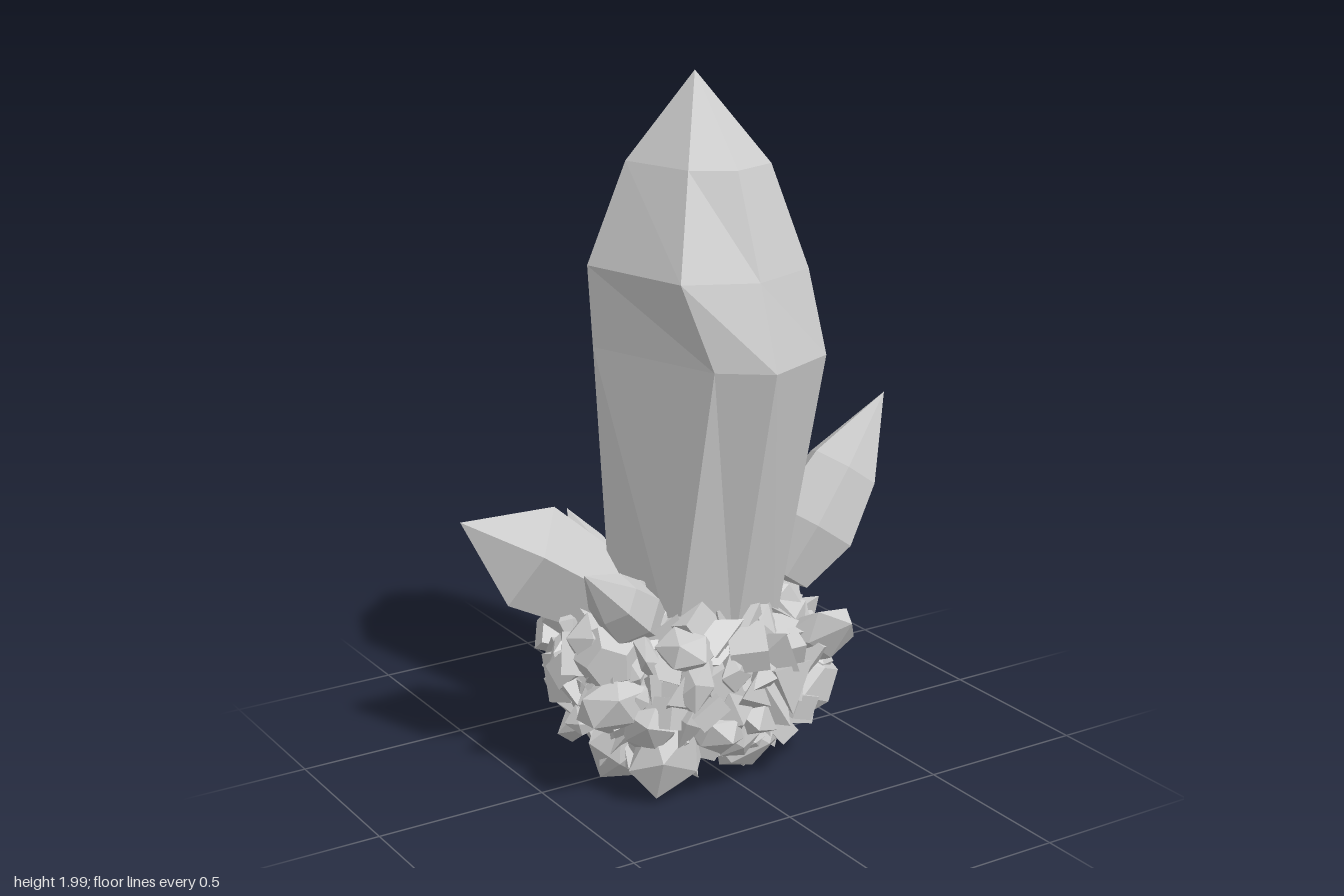
import * as THREE from 'three';
import { mergeGeometries } from 'three/addons/utils/BufferGeometryUtils.js';

const material = new THREE.MeshStandardMaterial({ color: 0xcccccc, flatShading: true });

function seeded(seed) {
  return () => {
    seed = (seed * 1664525 + 1013904223) % 4294967296;
    return seed / 4294967296;
  };
}

// Loft of seven-sided rings closed by a single apex.
function mainCrystal() {
  const rings = [
    [0.40, [[-0.01, 0.23], [0.16, 0.18], [0.19, 0.02], [0.16, -0.17], [-0.01, -0.21], [-0.23, -0.06], [-0.17, 0.18]]],
    [1.25, [[-0.01, 0.43], [0.22, 0.33], [0.28, 0.03], [0.23, -0.25], [-0.01, -0.37], [-0.27, -0.08], [-0.14, 0.33]]],
    [1.48, [[-0.01, 0.35], [0.20, 0.27], [0.26, 0.03], [0.20, -0.21], [-0.01, -0.28], [-0.285, -0.08], [-0.20, 0.26]]],
    [1.76, [[-0.01, 0.24], [0.13, 0.19], [0.16, 0.03], [0.14, -0.14], [-0.01, -0.20], [-0.18, -0.05], [-0.12, 0.17]]],
    [2.00, Array(7).fill([-0.01, 0.03])],
  ];
  const n = 7, position = [], index = [];
  for (const [y, ring] of rings) for (const [x, z] of ring) position.push(x, y, z);
  for (let r = 0; r < rings.length - 1; r++) {
    for (let i = 0; i < n; i++) {
      const a = r * n + i, b = r * n + (i + 1) % n;
      index.push(a, b, a + n);
      if (r < rings.length - 2) index.push(b, b + n, a + n);
    }
  }
  const geometry = new THREE.BufferGeometry();
  geometry.setAttribute('position', new THREE.Float32BufferAttribute(position, 3));
  geometry.setIndex(index);
  geometry.computeVertexNormals();
  return geometry;
}

// Pointed faceted crystal running from base to tip.
function sideCrystal(name, base, tip, radius, sides, profile, spin = 0) {
  const from = new THREE.Vector3(...base);
  const axis = new THREE.Vector3(...tip).sub(from);
  const length = axis.length();
  const points = profile.map(([r, t]) => new THREE.Vector2(r * radius, t * length));
  const geometry = new THREE.LatheGeometry(points, sides).rotateY(spin);
  const mesh = new THREE.Mesh(geometry, material);
  mesh.name = name;
  mesh.position.copy(from);
  mesh.quaternion.setFromUnitVectors(new THREE.Vector3(0, 1, 0), axis.normalize());
  return mesh;
}

// Angular shards scattered evenly over a rounded core.
function rockCluster() {
  const random = seeded(23);
  const centre = new THREE.Vector3(-0.02, 0.32, 0);
  const size = new THREE.Vector3(0.365, 0.24, 0.335);
  const parts = [
    new THREE.IcosahedronGeometry(1, 1).scale(size.x, size.y, size.z)
      .translate(centre.x, centre.y, centre.z),
  ];
  const shapes = [
    () => new THREE.IcosahedronGeometry(1, 0),
    () => new THREE.OctahedronGeometry(1, 0),
    () => new THREE.TetrahedronGeometry(1.15, 0),
    () => new THREE.BoxGeometry(1.2, 1.2, 1.2).toNonIndexed(),
  ];
  const addShard = (shape, s, x, y, z) => {
    const shard = shape().scale(s * (0.4 + 0.4 * random()), s * (0.9 + 0.4 * random()), s * (0.7 + 0.3 * random()));
    shard.rotateX(random() * 6.28).rotateY(random() * 6.28).rotateZ(random() * 6.28);
    parts.push(shard.translate(x, y, z));
  };
  const count = 210;
  for (let i = 0; i < count; i++) {
    const y = 1 - 2 * (i + 0.5) / count, ring = Math.sqrt(1 - y * y), angle = i * 2.39996;
    const p = new THREE.Vector3(Math.cos(angle) * ring, y, Math.sin(angle) * ring)
      .multiply(size).multiplyScalar(0.92 + 0.12 * random()).add(centre);
    const shape = shapes[Math.floor(random() * shapes.length)];
    addShard(shape, 0.07 + 0.04 * random(), p.x, p.y, p.z);
  }
  // Larger stones that break up the outline
  for (const [x, y, z, r] of [[0.25, 0.26, 0.24, 0.11], [-0.22, 0.14, 0.22, 0.14],
    [0.05, 0.12, 0.22, 0.12], [-0.27, 0.13, 0.05, 0.13], [0.27, 0.46, -0.2, 0.12],
    [0.32, 0.36, -0.1, 0.11], [-0.28, 0.45, -0.18, 0.13], [-0.36, 0.3, 0.16, 0.11],
    [0.25, 0.4, 0.26, 0.11], [-0.16, 0.4, -0.33, 0.11]]) {
    addShard(shapes[0], r, x, y, z);
  }
  parts.push(new THREE.DodecahedronGeometry(0.1, 0).translate(-0.34, 0.42, 0.11));
  const geometry = mergeGeometries(parts);
  const position = geometry.attributes.position;
  for (let i = 0; i < position.count; i++) position.setY(i, Math.max(0, position.getY(i)));
  geometry.computeVertexNormals();
  return geometry;
}

export function createModel() {
  const model = new THREE.Group();
  model.name = 'crystalCluster';
  const add = (name, geometry) => {
    const mesh = new THREE.Mesh(geometry, material);
    mesh.name = name;
    model.add(mesh);
  };
  add('mainCrystal', mainCrystal());
  add('rockBase', rockCluster());

  const slender = [[0, 0], [0.6, 0], [1, 0.36], [0.78, 0.6], [0, 1]];
  const broad = [[0, 0.06], [0.6, 0.08], [1, 0.33], [0.8, 0.62], [0, 1]];
  const blunt = [[0, 0], [0.65, 0], [1, 0.64], [0, 1]];
  model.add(
    sideCrystal('leftCrystal', [0.24, 0.48, 0.065], [0.625, 1.02, 0.06], 0.14, 6, broad, 0.5),
    sideCrystal('rightBackCrystal', [-0.15, 0.46, -0.05], [-0.625, 0.77, -0.21], 0.16, 5, blunt),
    sideCrystal('rightFrontCrystal', [-0.18, 0.45, 0.08], [-0.48, 0.72, 0.22], 0.095, 6, slender),
    sideCrystal('backCrystal', [-0.14, 0.46, -0.2], [-0.17, 0.67, -0.42], 0.07, 5, slender),
  );
  return model;
}
